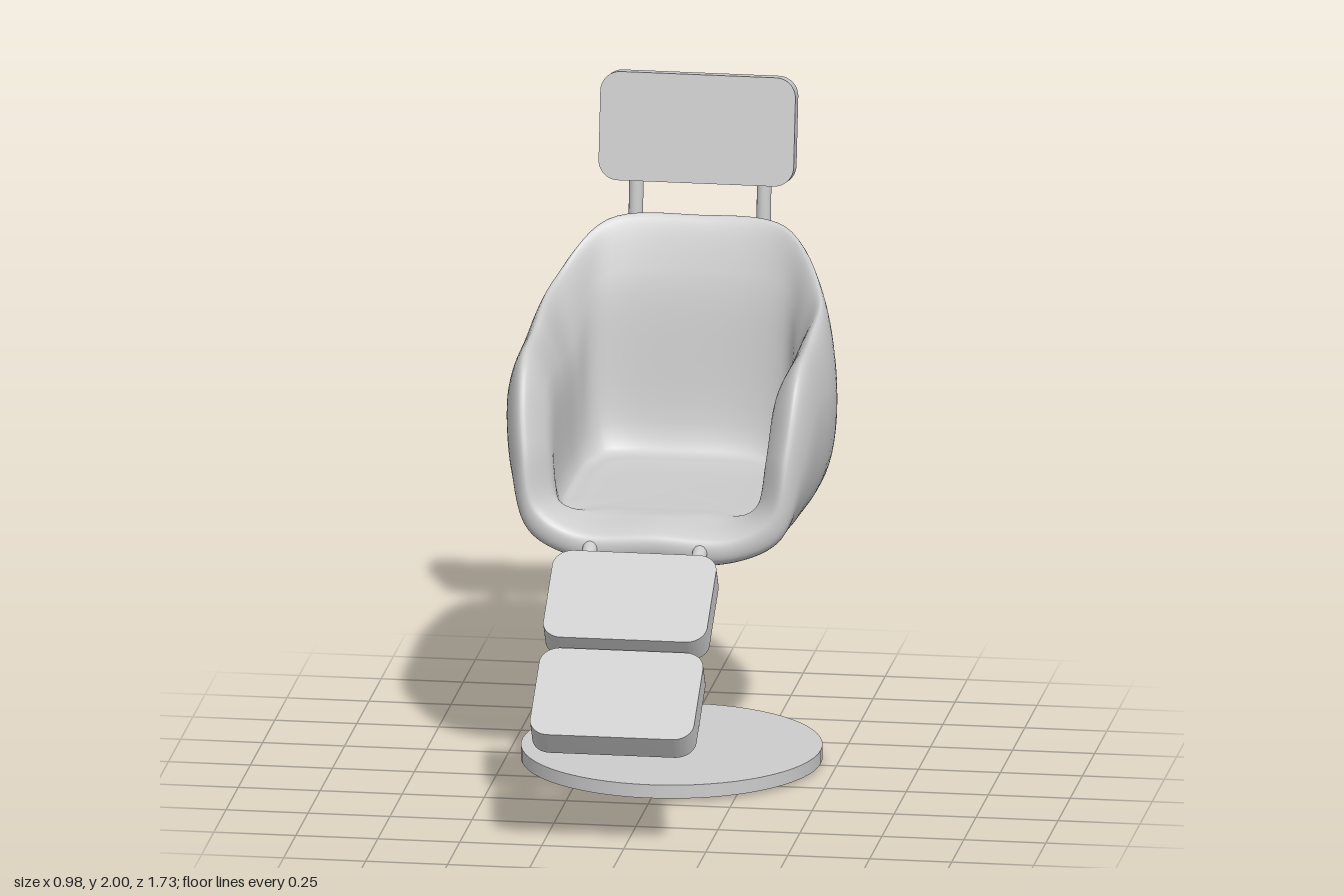
import * as THREE from 'three';
import { toCreasedNormals } from 'three/addons/utils/BufferGeometryUtils.js';

const grey = new THREE.MeshStandardMaterial({ color: 0xcccccc });

function part(name, geometry, x = 0, y = 0, z = 0) {
  const mesh = new THREE.Mesh(geometry, grey);
  mesh.name = name;
  mesh.position.set(x, y, z);
  return mesh;
}

// Flat pad with rounded corners, centred on its own origin
function padGeometry(w, h, depth, r) {
  const x = w / 2, y = h / 2, s = new THREE.Shape();
  s.absarc(x - r, y - r, r, 0, Math.PI / 2);
  s.absarc(-x + r, y - r, r, Math.PI / 2, Math.PI);
  s.absarc(-x + r, -y + r, r, Math.PI, Math.PI * 1.5);
  s.absarc(x - r, -y + r, r, Math.PI * 1.5, Math.PI * 2);
  const g = new THREE.ExtrudeGeometry(s, { depth, bevelEnabled: false, curveSegments: 8 });
  return toCreasedNormals(g.translate(0, 0, -depth / 2), 0.6);
}

// Guide lines of the shell, left half only: front centre, round the arm, to back centre
const under = [[0, .7, .06], [.2, .71, .06], [.33, .755, .04], [.4, .82, -.02], [.425, .85, -.1],
  [.44, .86, -.28], [.41, .84, -.5], [.27, .83, -.68], [0, .85, -.74]];
const belly = [[0, .75, .16], [.24, .75, .16], [.385, .82, .14], [.445, 1, .07], [.475, 1.15, -.05],
  [.487, 1.15, -.25], [.455, 1.15, -.52], [.32, 1.2, -.755], [0, 1.25, -.835]];
const rim = [[0, .81, .16], [.24, .81, .16], [.36, .88, .155], [.4, 1.07, .125], [.42, 1.29, 0],
  [.42, 1.335, -.27], [.405, 1.4, -.55], [.27, 1.545, -.74], [0, 1.56, -.775]];
const inner = [[0, .845, .05], [.22, .845, .05], [.31, .9, .08], [.335, 1.05, .05], [.345, 1.2, -.05],
  [.345, 1.2, -.28], [.335, 1.2, -.5], [.28, 1.35, -.66], [0, 1.38, -.7]];
const floor = [[0, .845, 0], [.2, .845, 0], [.28, .85, .02], [.305, .86, -.03], [.31, .86, -.12],
  [.31, .86, -.3], [.3, .86, -.5], [.25, .87, -.58], [0, .87, -.6]];

// Pulls a guide line towards a centre point
const shrink = (guide, c, k, ky) => guide.map(p => p.map((v, i) => c[i] + (v - c[i]) * (i === 1 ? ky : k)));

// Mirrors a half guide into a closed smooth loop
function loop(half) {
  const left = half.map(p => new THREE.Vector3(...p));
  const right = left.slice(1, -1).reverse().map(p => new THREE.Vector3(-p.x, p.y, p.z));
  return new THREE.CatmullRomCurve3([...left, ...right], true);
}

// Skin running from the underside, over the rim, down to the seat centre
function shellGeometry(nu = 128, nv = 72) {
  const low = [0, .67, -.35], seat = [0, .84, -.28];
  const loops = [shrink(under, low, 0, 0), shrink(under, low, .6, .15), under, belly, rim,
    inner, floor, shrink(floor, seat, .8, .3), shrink(floor, seat, 0, 0)].map(loop);
  const positions = [], index = [];
  for (let i = 0; i < nu; i++) {
    const rib = new THREE.CatmullRomCurve3(loops.map(l => l.getPoint(i / nu)));
    for (let j = 0; j <= nv; j++) positions.push(...rib.getPoint(j / nv).toArray());
  }
  for (let i = 0; i < nu; i++) {
    for (let j = 0; j < nv; j++) {
      const a = i * (nv + 1) + j, b = ((i + 1) % nu) * (nv + 1) + j;
      index.push(a, b, a + 1, b, b + 1, a + 1);
    }
  }
  const g = new THREE.BufferGeometry();
  g.setAttribute('position', new THREE.Float32BufferAttribute(positions, 3));
  g.setIndex(index);
  g.computeVertexNormals();
  return g;
}

export function createModel() {
  const chair = new THREE.Group();
  chair.name = 'salonChair';

  // Pedestal
  chair.add(part('baseDisc', new THREE.CylinderGeometry(.455, .455, .042, 64), 0, .031, -.235));
  chair.add(part('pole', new THREE.CylinderGeometry(.063, .063, .72, 32), -.01, .36, -.445));

  // Seat shell
  chair.add(part('seatShell', shellGeometry()));

  // Headrest on two rods
  const headrest = part('headrest', padGeometry(.595, .33, .06, .06), 0, 1.83, -.782);
  headrest.rotation.x = -.17;
  chair.add(headrest);
  for (const x of [-.195, .195]) {
    const rod = part('headrestRod', new THREE.CylinderGeometry(.022, .022, .73, 16), x, 1.583, -.813);
    rod.rotation.x = -.08;
    chair.add(rod);
  }

  // Leg rest: two stepped pads
  for (const [name, y, z] of [['upperLegPad', .674, .434], ['lowerLegPad', .444, .704]]) {
    const pad = part(name, padGeometry(.5, .342, .085, .06), -.025, y, z);
    pad.rotation.x = -.97;
    chair.add(pad);
  }

  // Bent rods carrying the pads
  for (const x of [-.19, .145]) {
    const path = new THREE.CatmullRomCurve3([[.77, .345], [.53, .525], [.3, .685], [.2, .755], [.1, .79]]
      .map(([z, y]) => new THREE.Vector3(x, y, z)));
    chair.add(part('legRestRod', new THREE.TubeGeometry(path, 32, .023, 12)));
  }
  return chair;
}
